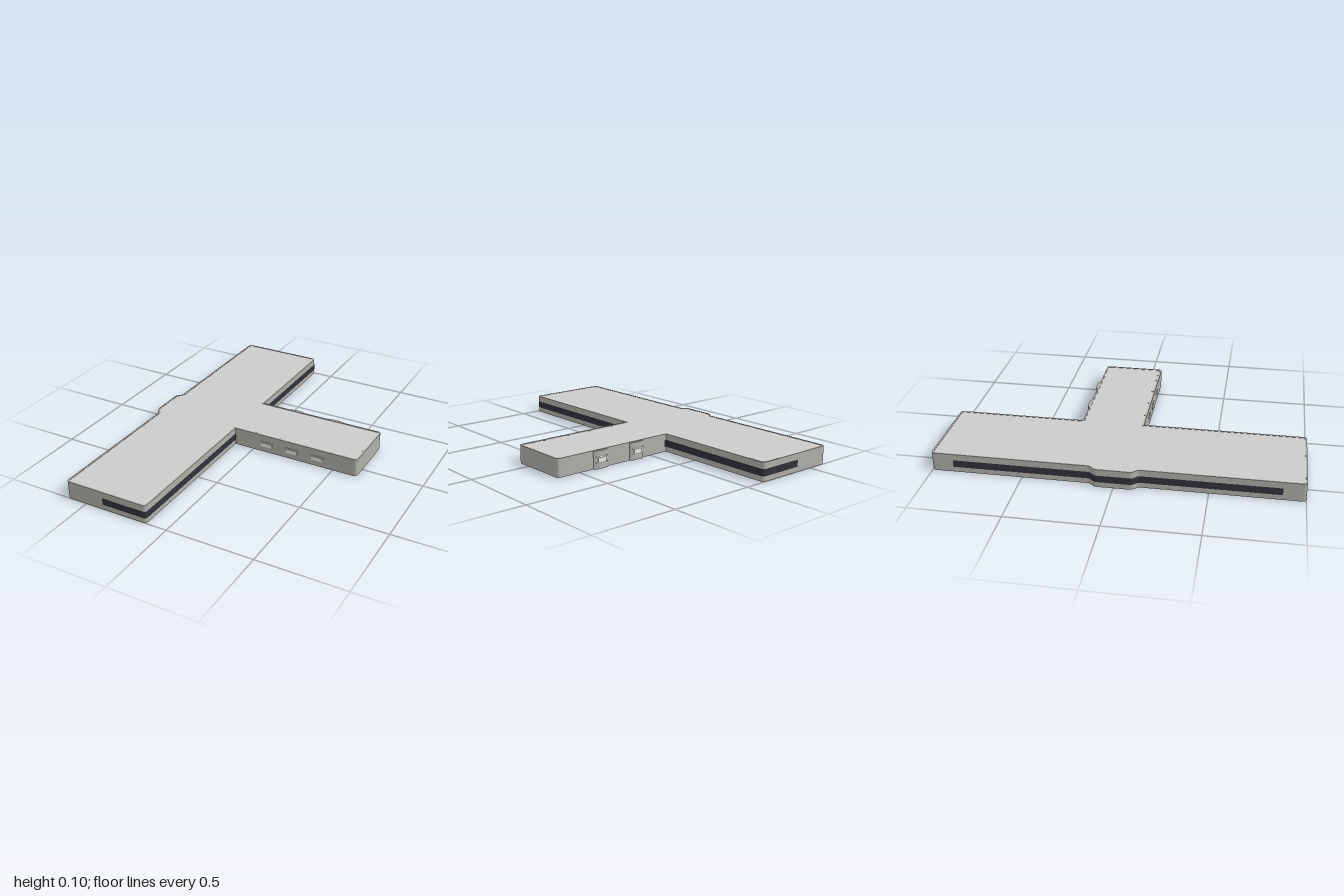
import * as THREE from 'three';

const H = 0.105;
const mat = (name, color, side = THREE.FrontSide) => {
  const m = new THREE.MeshStandardMaterial({ color, side });
  m.name = name;
  return m;
};

// T-shaped plan as [x, z, corner radius], shrunk inwards by d
const outline = (d) => [
  [-0.62 + d, 1 - d, 0.02], [-0.12 - d, 1 - d, 0.02],
  [-0.12 - d, 0.085 - d, 0.004], [0.645 - d, 0.085 - d, 0.02],
  [0.645 - d, -0.27 + d, 0.02], [-0.12 - d, -0.27 + d, 0.004],
  [-0.12 - d, -1 + d, 0.02], [-0.62 + d, -1 + d, 0.02],
  [-0.62 + d, -0.13, 0.012], [-0.65 + d, -0.1, 0.012],
  [-0.65 + d, 0.1, 0.012], [-0.62 + d, 0.13, 0.012],
];

// Draws straight runs with rounded corners; plan z becomes negative shape y
function trace(path, pts, closed) {
  const n = pts.length;
  const toward = (a, b, r) => {
    const l = Math.hypot(b[0] - a[0], b[1] - a[1]);
    return [a[0] + (b[0] - a[0]) * r / l, -(a[1] + (b[1] - a[1]) * r / l)];
  };
  pts.forEach((p, i) => {
    if (!closed && (i === 0 || i === n - 1)) {
      if (i === 0) path.moveTo(p[0], -p[1]);
      else path.lineTo(p[0], -p[1]);
      return;
    }
    const a = toward(p, pts[(i + n - 1) % n], p[2]);
    const b = toward(p, pts[(i + 1) % n], p[2]);
    if (i === 0) path.moveTo(...a);
    else path.lineTo(...a);
    path.quadraticCurveTo(p[0], -p[1], ...b);
  });
  if (closed) path.closePath();
  return path;
}

function slab(shape, y0, y1) {
  const g = new THREE.ExtrudeGeometry(shape, { depth: y1 - y0, bevelEnabled: false, curveSegments: 5 });
  return g.rotateX(-Math.PI / 2).translate(0, y0, 0);
}

// Upright strip following a plan path
function ribbon(pts, y0, y1) {
  const line = trace(new THREE.Path(), pts, false).getPoints(5);
  const pos = [], idx = [];
  line.forEach((p, i) => {
    pos.push(p.x, y0, -p.y, p.x, y1, -p.y);
    if (i) {
      const k = i * 2;
      idx.push(k - 2, k, k + 1, k - 2, k + 1, k - 1);
    }
  });
  const g = new THREE.BufferGeometry();
  g.setAttribute('position', new THREE.Float32BufferAttribute(pos, 3));
  g.setIndex(idx);
  const flat = g.toNonIndexed();
  flat.computeVertexNormals();
  return flat;
}

export function createModel() {
  const model = new THREE.Group();
  model.name = 'building';
  const wall = mat('wall grey', 0xb0b0aa);
  const roof = mat('roof grey', 0xcccccc);
  const glass = mat('dark glass', 0x32313a, THREE.DoubleSide);
  const trim = mat('white trim', 0xeeeeea);

  const add = (name, geo, material, parent = model) => {
    const m = new THREE.Mesh(geo, material);
    m.name = name;
    parent.add(m);
    return m;
  };
  const box = (name, x0, x1, y0, y1, z, t, material, parent) =>
    add(name, new THREE.BoxGeometry(x1 - x0, y1 - y0, t)
      .translate((x0 + x1) / 2, (y0 + y1) / 2, z), material, parent);

  // Walls with a raised parapet around the roof
  const plan = () => trace(new THREE.Shape(), outline(0), true);
  add('walls', slab(plan(), 0, H - 0.004), wall);
  const rim = plan();
  rim.holes.push(trace(new THREE.Path(), outline(0.009), true));
  add('parapet', slab(rim, H - 0.004, H), wall);
  add('roof', slab(trace(new THREE.Shape(), outline(0.009), true), H - 0.004, H - 0.002), roof);

  // Window bands wrapping the corners of the long block
  const e = 0.002;
  const bands = {
    frontWindowBand: [[-0.39, 1 + e], [-0.12 + e, 1 + e, 0.02], [-0.12 + e, 0.085]],
    backWindowBand: [[-0.105, -0.27 - e], [-0.12 + e, -0.27 - e, 0.004],
      [-0.12 + e, -1 - e, 0.02], [-0.39, -1 - e]],
    sideWindowBand: [[-0.62 - e, -0.88], [-0.62 - e, -0.13, 0.012], [-0.65 - e, -0.1, 0.012],
      [-0.65 - e, 0.1, 0.012], [-0.62 - e, 0.13, 0.012], [-0.62 - e, 0.88]],
  };
  for (const [name, pts] of Object.entries(bands)) add(name, ribbon(pts, 0.03, 0.07), glass);

  // Small windows with lintels along the front of the wing
  for (const x of [0.085, 0.245, 0.403]) {
    const w = new THREE.Group();
    w.name = 'wingFrontWindow';
    model.add(w);
    box('pane', x - 0.034, x + 0.034, 0.032, 0.054, 0.0855, 0.003, trim, w);
    box('lintel', x - 0.04, x + 0.04, 0.061, 0.064, 0.0855, 0.003, trim, w);
    box('upperBar', x - 0.036, x + 0.036, 0.0565, 0.0585, 0.0855, 0.003, trim, w);
  }

  // Shallow bowed bays with framed windows on the back of the wing
  for (const x of [0.105, 0.36]) {
    const bay = new THREE.Group();
    bay.name = 'bay';
    model.add(bay);
    const s = new THREE.Shape();
    s.absellipse(x, 0.27, 0.05, 0.015, 0, Math.PI, false);
    s.closePath();
    add('bayWall', slab(s, 0, H - 0.003), wall, bay);
    const z = -0.286;
    box('pane', x - 0.028, x + 0.028, 0.038, 0.062, z + 0.002, 0.006, trim, bay);
    for (const y of [0.032, 0.066]) box('frameBar', x - 0.04, x + 0.04, y, y + 0.003, z + 0.004, 0.008, trim, bay);
  }

  // Little studs just inside the wing parapet
  for (const x of [0.005, 0.165, 0.325, 0.485, 0.56, 0.63]) {
    add('roofStud', new THREE.CylinderGeometry(0.01, 0.01, 0.004, 10)
      .translate(x, H - 0.002, 0.075), wall);
  }
  box('roofStud', 0.628, 0.64, H - 0.004, H, -0.03, 0.02, wall);

  return model;
}
